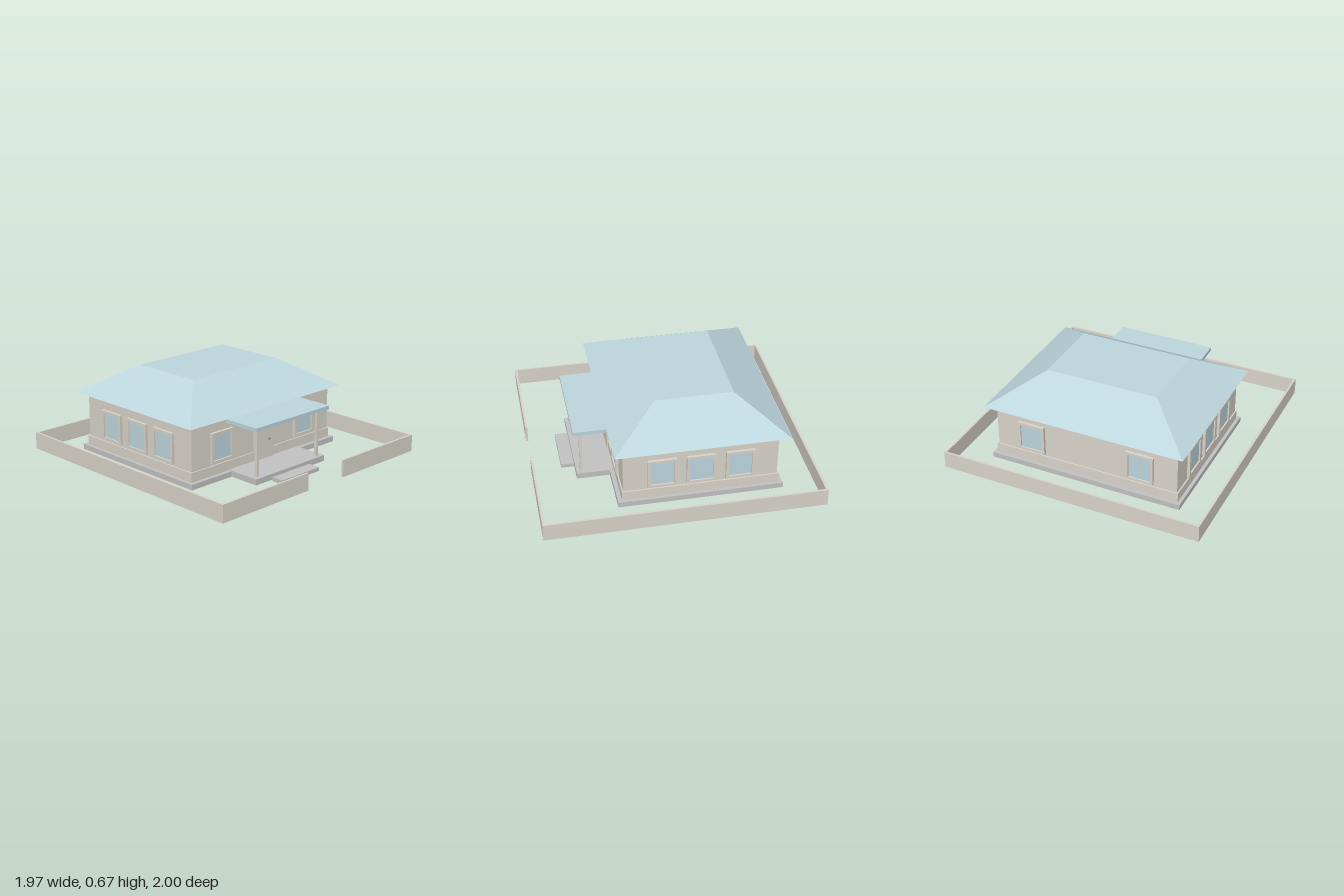
import * as THREE from 'three';

const mat = (name, color) => {
  const m = new THREE.MeshStandardMaterial({ color });
  m.name = name;
  return m;
};

export function createModel() {
  const house = new THREE.Group();
  house.name = 'house';
  const wall = mat('warm beige', 0xd9d4ca);
  const blue = mat('pale blue', 0xbdd6dd);
  const stone = mat('stone grey', 0xc2c2c2);
  const metal = mat('knob grey', 0x8c8a86);

  // Box given by its min and max on each axis
  const box = (parent, name, m, x0, x1, y0, y1, z0, z1) => {
    const mesh = new THREE.Mesh(new THREE.BoxGeometry(x1 - x0, y1 - y0, z1 - z0), m);
    mesh.position.set((x0 + x1) / 2, (y0 + y1) / 2, (z0 + z1) / 2);
    mesh.name = name;
    parent.add(mesh);
    return mesh;
  };

  // Foundation, porch floor and step
  box(house, 'foundation', stone, -0.735, 0.735, 0.01, 0.05, -0.745, 0.445);
  box(house, 'porchFloor', stone, -0.355, 0.355, 0.01, 0.054, 0.4, 0.685);
  box(house, 'step', stone, -0.193, 0.193, 0, 0.028, 0.685, 0.78);

  // Walls with a slightly wider plinth band
  box(house, 'walls', wall, -0.7, 0.7, 0.05, 0.456, -0.705, 0.405);
  box(house, 'plinth', wall, -0.71, 0.71, 0.05, 0.12, -0.715, 0.415);

  // Hipped roof with a flat top: a box whose upper corners move inward
  const roofGeo = new THREE.BoxGeometry(1.53, 0.21, 1.25);
  const p = roofGeo.attributes.position;
  for (let i = 0; i < p.count; i++) {
    if (p.getY(i) > 0) {
      p.setX(i, Math.sign(p.getX(i)) * 0.423);
      p.setZ(i, Math.sign(p.getZ(i)) * 0.284);
    }
  }
  roofGeo.computeVertexNormals();
  const roof = new THREE.Mesh(roofGeo, blue);
  roof.name = 'roof';
  roof.position.set(0, 0.56, -0.156);
  house.add(roof);

  // Porch roof on two posts
  box(house, 'porchRoof', blue, -0.375, 0.375, 0.404, 0.432, 0.405, 0.703);
  for (const s of [-1, 1]) {
    box(house, 'porchPost', wall, s * 0.309 - 0.01, s * 0.309 + 0.01, 0.054, 0.404, 0.636, 0.656);
  }

  // Door and knob
  box(house, 'door', wall, -0.094, 0.092, 0.054, 0.362, 0.4, 0.424);
  const knob = new THREE.Mesh(new THREE.SphereGeometry(0.008, 12, 8), metal);
  knob.name = 'doorKnob';
  knob.position.set(0.042, 0.195, 0.43);
  house.add(knob);

  // Window: frame with an opening and a slightly recessed pane, facing +z
  const W = 0.207, H = 0.225, B = 0.02, D = 0.022;
  const frameShape = new THREE.Shape([
    [-W / 2, -H / 2], [W / 2, -H / 2], [W / 2, H / 2], [-W / 2, H / 2],
  ].map(([x, y]) => new THREE.Vector2(x, y)));
  const iw = W / 2 - B, ih = H / 2 - B;
  frameShape.holes.push(new THREE.Path([
    [-iw, -ih], [-iw, ih], [iw, ih], [iw, -ih],
  ].map(([x, y]) => new THREE.Vector2(x, y))));
  const frameGeo = new THREE.ExtrudeGeometry(frameShape, { depth: D, bevelEnabled: false });
  const addWindow = (x, z, angle) => {
    const g = new THREE.Group();
    g.name = 'window';
    const frame = new THREE.Mesh(frameGeo, wall);
    frame.name = 'windowFrame';
    g.add(frame);
    box(g, 'windowPane', blue, -iw, iw, -ih, ih, 0.003, 0.011);
    g.position.set(x, 0.25, z);
    g.rotation.y = angle;
    house.add(g);
  };
  for (const s of [-1, 1]) {
    addWindow(s * 0.421, 0.405, 0);
    addWindow(s * 0.421, -0.705, Math.PI);
    for (const z of [0.128, -0.15, -0.43]) addWindow(s * 0.699, z, s * Math.PI / 2);
  }

  // Boundary wall with a gap at the entrance
  const X = 0.983, T = 0.016, y0 = 0.01, y1 = 0.138;
  box(house, 'backFence', wall, -X, X, y0, y1, -1, -1 + T);
  box(house, 'rightFence', wall, -X, -X + T, y0, y1, -1 + T, 1 - T);
  box(house, 'leftFence', wall, X - T, X, y0, y1, -1 + T, 1 - T);
  box(house, 'frontFenceRight', wall, -X, -0.17, y0, y1, 1 - T, 1);
  box(house, 'frontFenceLeft', wall, 0.196, X, y0, y1, 1 - T, 1);

  return house;
}
